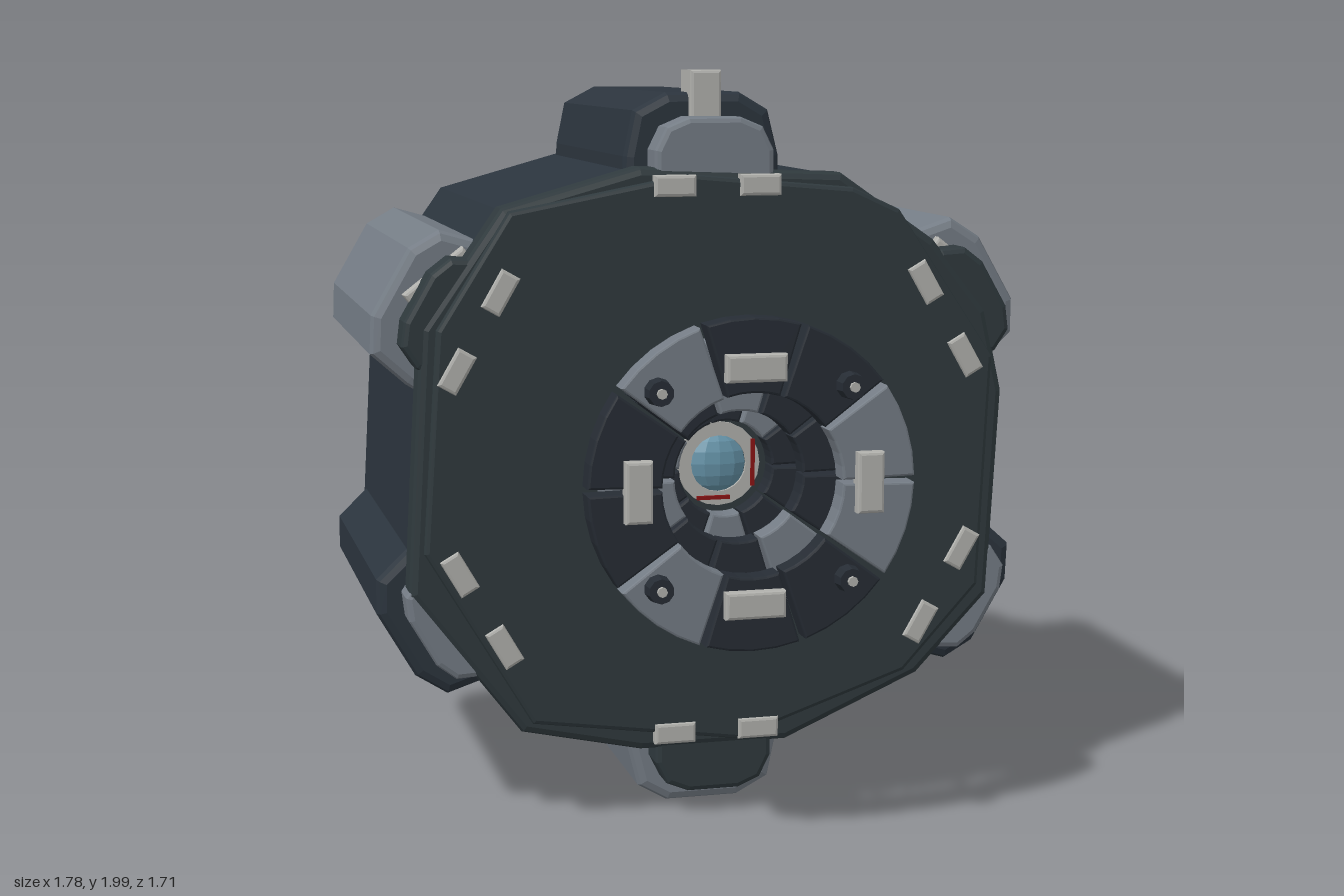
import * as THREE from 'three';

const mat = (color) => new THREE.MeshStandardMaterial({ color, flatShading: true });

export function createModel() {
  const root = new THREE.Group();
  const hub = new THREE.Group(); // everything is laid out around the axis of the drum
  hub.name = 'drum';
  hub.position.y = 0.975;
  root.add(hub);

  const M = {
    body: mat(0x2b343d), plate: mat(0x2f393d), grey: mat(0x747c85), pale: mat(0xb0b0ac),
    cap: mat(0x5f6268), dark: mat(0x262c34), blue: mat(0x6593a8), red: mat(0x8a1414),
  };

  const add = (parent, name, geo, material, x = 0, y = 0, z = 0) => {
    const m = new THREE.Mesh(geo, material);
    m.name = name;
    m.position.set(x, y, z);
    parent.add(m);
    return m;
  };
  // Bevelled prism along z, bevel kept inside the outline
  const prism = (pts, z0, z1, b, scale = 1) => {
    const shape = new THREE.Shape(pts.map(([x, y]) => new THREE.Vector2(x * scale, y * scale)));
    const geo = new THREE.ExtrudeGeometry(shape, {
      depth: z1 - z0 - 2 * b, bevelEnabled: true, bevelSize: b, bevelOffset: -b,
      bevelThickness: b, bevelSegments: 2,
    });
    return geo.translate(0, 0, z0 + b);
  };
  const block = (w, h, d, b = 0.008) =>
    prism([[-w / 2, -h / 2], [w / 2, -h / 2], [w / 2, h / 2], [-w / 2, h / 2]], -d / 2, d / 2, b);

  // Drum, rear cap, collar and front plate
  const outline = [[0.34, 0.75], [0.6, 0.57], [0.75, 0.38], [0.8, 0.16], [0.77, -0.4], [0.57, -0.61],
    [0.2, -0.77], [-0.2, -0.77], [-0.52, -0.7], [-0.81, -0.32], [-0.77, 0.37], [-0.56, 0.67], [-0.2, 0.77]];
  const face = [[0.37, 0.72], [0.5, 0.66], [0.77, 0.26], [0.74, -0.37], [0.53, -0.6], [0.06, -0.76],
    [-0.5, -0.68], [-0.78, -0.21], [-0.74, 0.37], [-0.55, 0.67], [-0.08, 0.76]];
  add(hub, 'drumBody', prism(outline, -0.68, 0.34, 0.035), M.body);
  add(hub, 'rearCap', prism(outline, -0.855, -0.66, 0.03, 0.92), M.cap);
  add(hub, 'collar', prism(outline, 0.325, 0.435, 0.02, 1.01), M.plate);
  add(hub, 'frontPlate', prism(face, 0.4, 0.455, 0.012), M.plate);

  // Six ribs with lugs and pairs of clips, alternating dark and light
  const rib = [[-0.22, 0.66], [0.21, 0.66], [0.21, 0.8], [0.18, 0.92], [0.1, 0.967], [-0.1, 0.967],
    [-0.19, 0.92], [-0.215, 0.8]];
  const lug = [[-0.16, 0.68], [0.16, 0.68], [0.16, 0.82], [0.13, 0.88], [0.07, 0.905], [-0.07, 0.905],
    [-0.13, 0.88], [-0.16, 0.82]];
  const ribGeo = prism(rib, -0.63, 0.31, 0.025);
  const lugGeo = prism(lug, 0.32, 0.43, 0.015);
  const clipGeo = block(0.112, 0.056, 0.04);
  for (let i = 0; i < 6; i++) {
    const spoke = new THREE.Group();
    spoke.name = 'spoke';
    spoke.rotation.z = (i * Math.PI) / 3;
    hub.add(spoke);
    add(spoke, 'rib', ribGeo, i % 2 ? M.grey : M.body);
    add(spoke, 'lug', lugGeo, i % 2 ? M.plate : M.grey);
    for (const s of [-1, 1]) add(spoke, 'clip', clipGeo, M.pale, s * 0.115, 0.73, 0.443);
  }
  for (const s of [-1, 1]) {
    const strip = add(hub, 'ribStrip', block(0.2, 0.035, 0.04), M.pale, s * 0.72, 0.5, 0.325);
    strip.rotation.z = -s * 0.66;
  }
  add(hub, 'topPin', block(0.084, 0.16, 0.115), M.pale, 0, 0.945, 0.275);

  // Three segmented rings, widening towards the front
  const segment = (r0, r1, a0, a1) => {
    const pts = [];
    const n = 4;
    for (let k = 0; k <= n; k++) {
      const a = a0 + ((a1 - a0) * k) / n;
      pts.push([r1 * Math.cos(a), r1 * Math.sin(a)]);
    }
    for (let k = n; k >= 0; k--) {
      const a = a0 + ((a1 - a0) * k) / n;
      pts.push([r0 * Math.cos(a), r0 * Math.sin(a)]);
    }
    return pts;
  };
  [[0.235, 0.425, 0.735], [0.17, 0.36, 0.6], [0.125, 0.295, 0.47]].forEach(([r0, r1, z], ring) => {
    const group = new THREE.Group();
    group.name = 'segmentedRing';
    hub.add(group);
    for (let i = 0; i < 10; i++) {
      const a = (i * Math.PI) / 5;
      const geo = prism(segment(r0, r1, a + 0.02, a + Math.PI / 5 - 0.02), z, z + 0.07, 0.006);
      add(group, 'ringSegment', geo, (i + ring) % 3 ? M.dark : M.grey);
    }
  });

  // Pads, bolts and rods on the rings
  for (let i = 0; i < 4; i++) {
    const a = (i * Math.PI) / 2;
    const pad = add(hub, 'ringPad', block(0.07, 0.157, 0.05), M.pale, 0.3 * Math.cos(a), 0.3 * Math.sin(a), 0.81);
    pad.rotation.z = a;

    const b = a + Math.PI / 4;
    const x = 0.35 * Math.cos(b), y = 0.35 * Math.sin(b);
    add(hub, 'bolt', new THREE.CylinderGeometry(0.032, 0.037, 0.05, 10).rotateX(Math.PI / 2), M.dark, x, y, 0.82);
    add(hub, 'boltTip', new THREE.CylinderGeometry(0.013, 0.013, 0.03, 8).rotateX(Math.PI / 2), M.pale, x, y, 0.84);
    const path = new THREE.LineCurve3(new THREE.Vector3(x, y, 0.81), new THREE.Vector3(x * 0.63, y * 0.63, 0.43));
    add(hub, 'rod', new THREE.TubeGeometry(path, 1, 0.014, 8), M.pale);
  }

  // Lens with its bezel and two red markers
  const bezel = new THREE.Shape().absarc(0, 0, 0.112, 0, Math.PI * 2);
  bezel.holes.push(new THREE.Path().absarc(0, 0, 0.075, 0, Math.PI * 2, true));
  add(hub, 'lensBezel', new THREE.ExtrudeGeometry(bezel, { depth: 0.03, bevelEnabled: false, curveSegments: 10 }),
    M.pale, 0, 0, 0.435);
  const lens = new THREE.SphereGeometry(0.083, 12, 8).scale(1, 1, 0.5);
  add(hub, 'lens', lens, M.blue, 0, 0, 0.44);
  add(hub, 'redMarker', new THREE.BoxGeometry(0.01, 0.125, 0.01), M.red, 0.092, 0, 0.468);
  add(hub, 'redMarker', new THREE.BoxGeometry(0.09, 0.01, 0.01), M.red, -0.015, -0.09, 0.468);

  return root;
}
